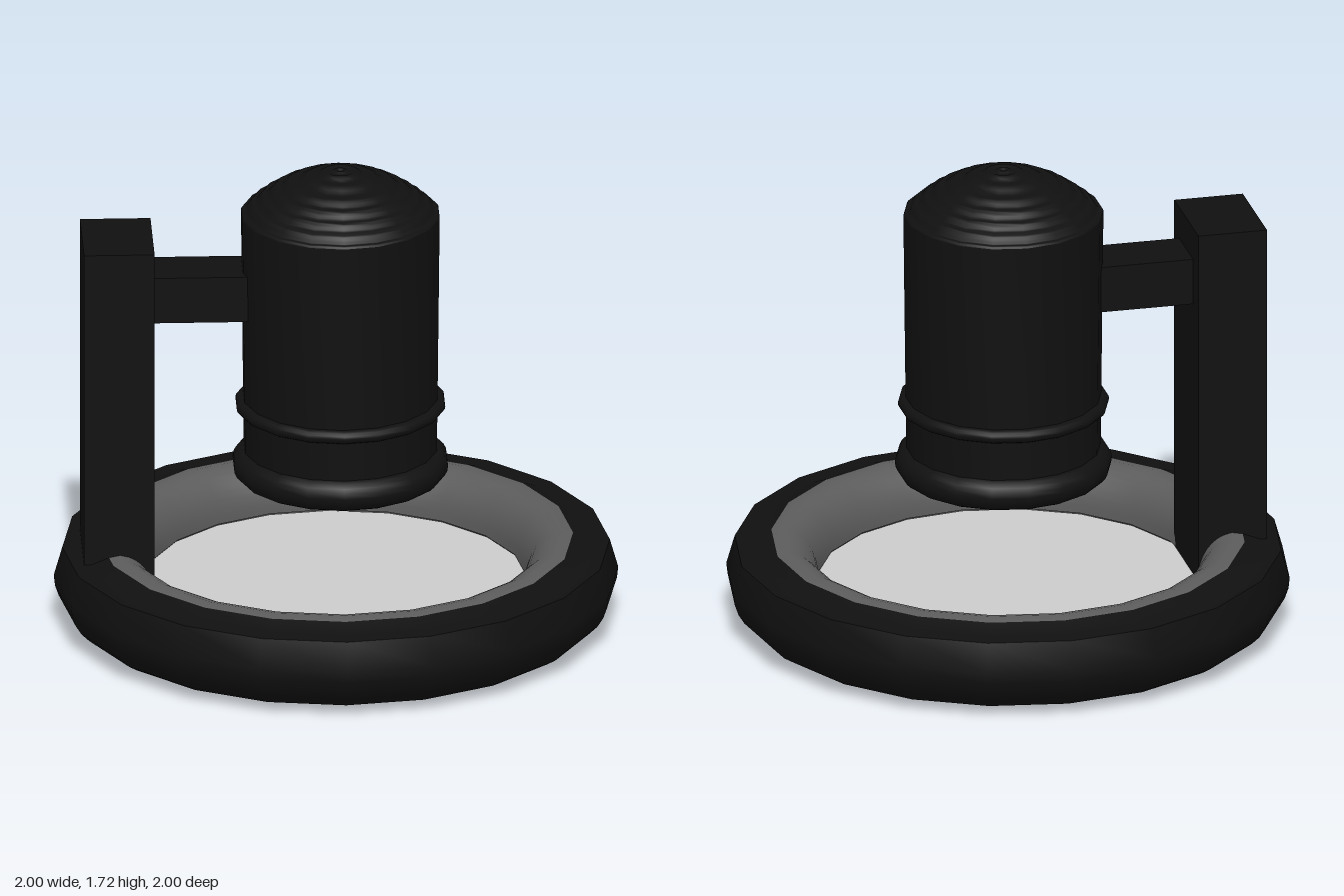
import * as THREE from 'three';
import { toCreasedNormals } from 'three/addons/utils/BufferGeometryUtils.js';

const black = new THREE.MeshStandardMaterial({ color: 0x101010, side: THREE.DoubleSide });
const darkGrey = new THREE.MeshStandardMaterial({ color: 0x5c5c5c, side: THREE.DoubleSide });
const grey = new THREE.MeshStandardMaterial({ color: 0xcccccc });

function add(parent, name, geometry, material, x = 0, y = 0, z = 0) {
  const mesh = new THREE.Mesh(geometry, material);
  mesh.name = name;
  mesh.position.set(x, y, z);
  parent.add(mesh);
  return mesh;
}

// Profile of [radius, height] pairs, listed from bottom to top along the outside
function lathe(points, sides) {
  const profile = points.map(([r, y]) => new THREE.Vector2(r, y));
  return toCreasedNormals(new THREE.LatheGeometry(profile, sides), 0.7);
}

// Points on a circular arc in the profile plane
function arc(cr, cy, rr, ry, from, to, steps) {
  return Array.from({ length: steps + 1 }, (_, i) => {
    const a = from + (to - from) * i / steps;
    return [cr + rr * Math.cos(a), cy + ry * Math.sin(a)];
  });
}

export function createModel() {
  const model = new THREE.Group();
  const H = Math.PI / 2;

  // Round base: dark shell outside, grey rounded lip inside, pale plate
  const base = new THREE.Group();
  base.name = 'base';
  model.add(base);
  add(base, 'baseShell', lathe([
    [0.68, 0.15], [0.69, 0],
    ...arc(0.82, 0.19, 0.18, 0.18, -H, 0, 7),
    [0.97, 0.295], [0.905, 0.295], [0.84, 0.322],
  ], 20), black);
  add(base, 'innerLip', lathe([
    [0.84, 0.322], [0.80, 0.33],
    ...arc(0.80, 0.16, 0.125, 0.168, H + 0.25, Math.PI, 7),
  ], 20), darkGrey);
  add(base, 'plate', new THREE.CylinderGeometry(0.68, 0.68, 0.02, 20), grey, 0, 0.145);

  // Column and the arm that carries the head
  add(model, 'column', new THREE.BoxGeometry(0.25, 1.33, 0.36), black, -0.775, 0.805);
  add(model, 'arm', new THREE.BoxGeometry(0.4, 0.17, 0.21), black, -0.48, 1.267, 0.003);

  // Head: rounded bottom rim, barrel, rolled ring and rippled dome
  const head = new THREE.Group();
  head.name = 'head';
  head.position.set(0.015, 0, 0.007);
  model.add(head);
  add(head, 'bottomRim', lathe([
    [0, 0.55],
    ...arc(0.325, 0.61, 0.06, 0.06, -H, H, 10),
  ], 18), black);
  add(head, 'barrel', lathe([[0.345, 0.66], [0.355, 1.55]], 18), black);
  add(head, 'rolledRing', lathe(arc(0.345, 0.835, 0.03, 0.025, -H, H, 8), 18), black);

  const domeCurve = new THREE.SplineCurve([
    [0.355, 1.55], [0.29, 1.605], [0.2, 1.66], [0.07, 1.707], [0, 1.712],
  ].map(([r, y]) => new THREE.Vector2(r, y)));
  const dome = domeCurve.getPoints(56).map((p, i) => [
    Math.max(0, p.x), p.y + (i < 56 ? 0.004 * Math.sin(i / 56 * 16 * Math.PI) : 0),
  ]);
  add(head, 'dome', lathe(dome, 18), black);

  return model;
}
